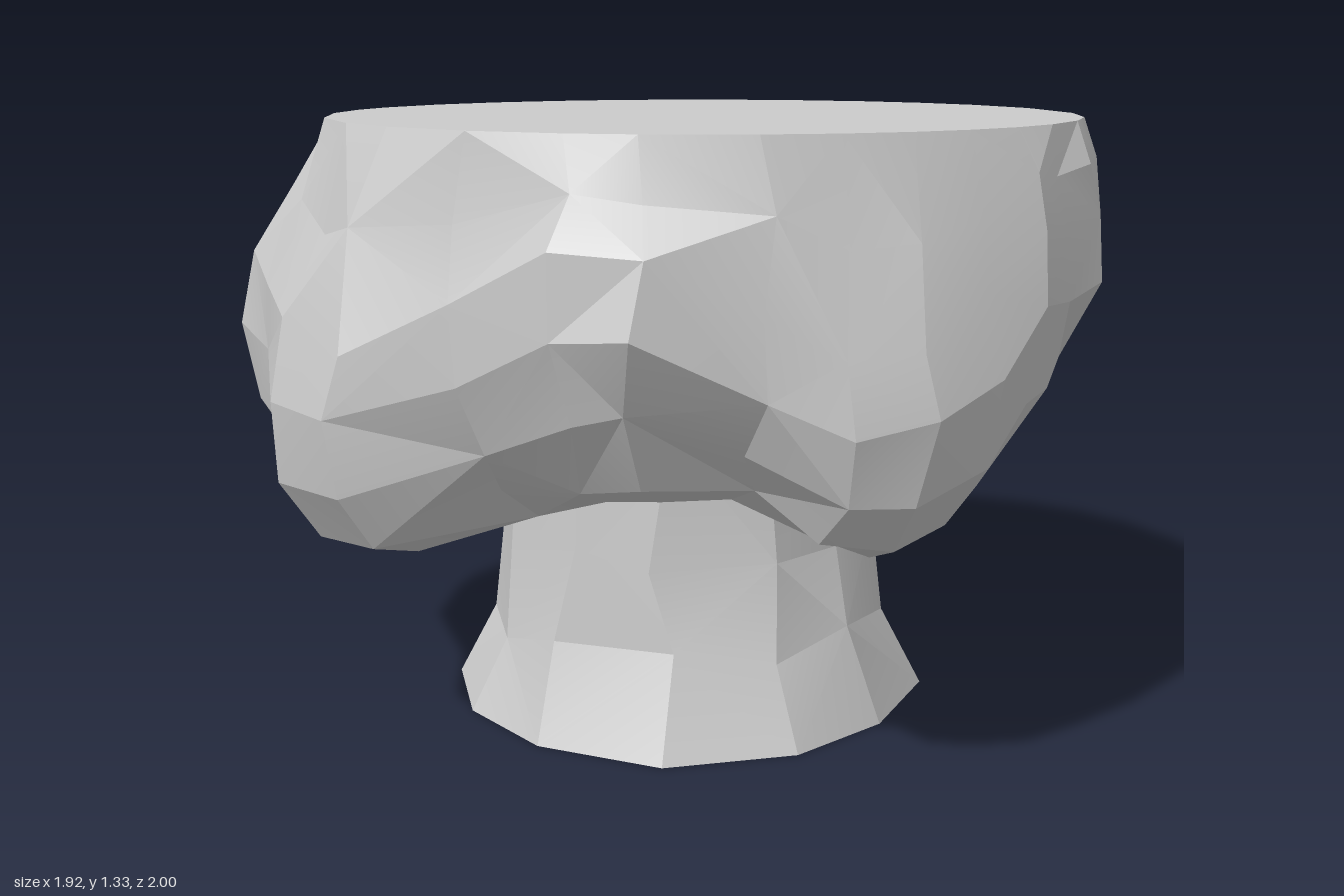
import * as THREE from 'three';
import { toCreasedNormals } from 'three/addons/utils/BufferGeometryUtils.js';

// Canopy outline seen from above, running from +x towards +z:
// [x, z, height of the lobe's underside, height of its shoulder]
const OUTLINE = [
  [0.93, 0, 0.57, 1.12], [0.95, 0.15, 0.54, 1.14], [0.93, 0.3, 0.5, 1.02], [0.89, 0.45, 0.49, 0.95], [0.79, 0.58, 0.51, 0.93],
  [0.64, 0.67, 0.58, 1.0], [0.49, 0.87, 0.6, 1.12], [0.33, 0.9, 0.59, 1.1], [0.1, 0.9, 0.55, 1.0], [-0.15, 1, 0.45, 0.92],
  [-0.36, 0.95, 0.43, 0.92], [-0.58, 0.76, 0.46, 0.98], [-0.82, 0.62, 0.5, 1.0], [-0.95, 0.43, 0.52, 1.0], [-0.96, 0.25, 0.53, 1.0],
  [-0.83, 0, 0.56, 1.0], [-0.8, -0.2, 0.49, 1.02], [-0.8, -0.43, 0.49, 1.02], [-0.75, -0.53, 0.54, 1.02], [-0.6, -0.63, 0.62, 1.06],
  [-0.4, -0.73, 0.63, 1.08], [-0.23, -0.8, 0.59, 1.05], [-0.02, -0.93, 0.49, 0.95], [0.18, -1, 0.45, 0.95], [0.38, -0.91, 0.45, 0.96],
  [0.55, -0.72, 0.5, 1.02], [0.72, -0.5, 0.66, 1.1], [0.84, -0.33, 0.67, 1.12], [0.92, -0.18, 0.61, 1.14],
];
const TOP = 1.325;

// Seeded jitter in -1..1
function makeJitter(seed) {
  return () => {
    seed = (seed * 16807) % 2147483647;
    return (seed / 2147483647) * 2 - 1;
  };
}

// Skin closed rings (listed top to bottom) and optionally close the top
function skin(rings, capped) {
  const n = rings[0].length;
  const pos = rings.flat(2);
  const index = [];
  for (let i = 0; i < rings.length - 1; i++) {
    for (let j = 0; j < n; j++) {
      const a = i * n + j, b = i * n + ((j + 1) % n), c = a + n, d = b + n;
      // alternate the diagonals for a faceted, carved look
      if ((i + j) % 2) index.push(a, b, c, b, d, c);
      else index.push(a, b, d, a, d, c);
    }
  }
  if (capped) {
    const centre = pos.length / 3;
    pos.push(0.05, rings[0][0][1], 0.02);
    for (let j = 0; j < n; j++) index.push(centre, (j + 1) % n, j);
  }
  const g = new THREE.BufferGeometry();
  g.setAttribute('position', new THREE.Float32BufferAttribute(pos, 3));
  g.setIndex(index);
  return toCreasedNormals(g, 0.22);
}

// Lumpy canopy with a flat sawn-off top
function canopyGeometry() {
  const jitter = makeJitter(71);
  const rings = Array.from({ length: 9 }, () => []);
  for (const [x, z, low, shoulder] of OUTLINE) {
    const r = Math.hypot(x, z), cx = x / r, cz = z / r;
    const rim = 0.828 + 0.05 * cx + 0.02 * cz;
    const widest = shoulder - 0.15;
    // hanging lobes stay wide, the valleys between them slope in to the trunk
    const inner = 0.77 - 0.7 * (low - 0.45);
    const under = (deg) => {
      const t = THREE.MathUtils.degToRad(deg);
      const pinch = 0.25 * (low - 0.45) * Math.sin(2 * t);
      return [r * (inner + (1 - inner) * Math.cos(t) - pinch), widest - (widest - low) * Math.sin(t), 0.015];
    };
    // [radius, height, jitter amount]
    const profile = [
      [rim, TOP, 0],
      [THREE.MathUtils.lerp(rim, r, 0.4), THREE.MathUtils.lerp(shoulder, TOP, 0.5), 0.016],
      [THREE.MathUtils.lerp(rim, r, 0.85), shoulder, 0.016],
      [r, widest, 0.005],
      under(28),
      under(56),
      under(90),
      [r * inner * 0.8, low + 0.03, 0.008],
      [0.37, 0.67, 0],
    ];
    profile.forEach(([pr, y, k], i) => {
      const q = pr + k * jitter();
      const a = Math.atan2(cz, cx) + 2 * k * jitter();
      rings[i].push([Math.cos(a) * q, y + 1.5 * k * jitter(), Math.sin(a) * q]);
    });
  }
  return skin(rings, true);
}

// Hollow trunk, flaring out towards the ground
function trunkGeometry() {
  const jitter = makeJitter(23);
  const sides = 12;
  const profile = [[0.41, 0.68], [0.415, 0.42], [0.45, 0.19], [0.53, 0]];
  const rings = profile.map(([r, y], i) => Array.from({ length: sides }, (_, j) => {
    const a = ((j + 0.15 * jitter()) / sides) * Math.PI * 2;
    const q = r * (1 + 0.03 * jitter());
    const dy = i === 1 || i === 2 ? 0.04 * jitter() : 0;
    return [Math.cos(a) * q + 0.01, y + dy, Math.sin(a) * (q + 0.02) + 0.03];
  }));
  return skin(rings, false);
}

export function createModel() {
  const group = new THREE.Group();
  const material = new THREE.MeshStandardMaterial({ color: 0xcccccc, side: THREE.DoubleSide });
  const add = (name, geometry) => {
    const mesh = new THREE.Mesh(geometry, material);
    mesh.name = name;
    group.add(mesh);
  };
  add('canopy', canopyGeometry());
  add('trunk', trunkGeometry());
  return group;
}
